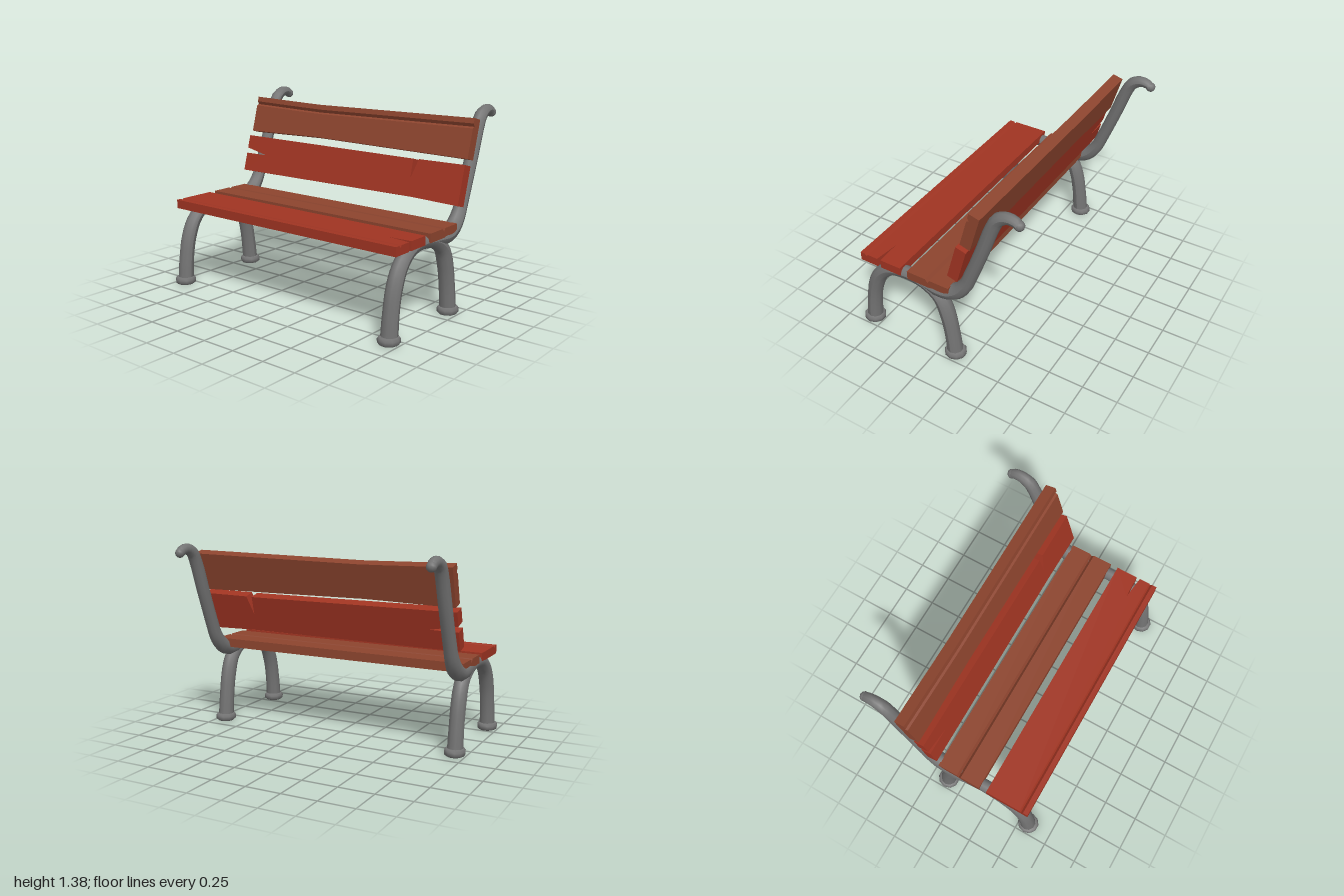
import * as THREE from 'three';

const V = (x, y, z = 0) => new THREE.Vector3(x, y, z);

export function createModel() {
  const mat = (name, color) => Object.assign(new THREE.MeshStandardMaterial({ color }), { name });
  const iron = mat('grey iron', 0x737373);
  const red = mat('red wood', 0xa03422);
  const brown = mat('brown wood', 0x8c442e);

  const bench = new THREE.Group();
  bench.name = 'bench';
  const add = (parent, name, geometry, material) => {
    const mesh = new THREE.Mesh(geometry, material);
    mesh.name = name;
    parent.add(mesh);
    return mesh;
  };

  // Tube whose radius follows a list of values along its path
  const taperedTube = (points, radii, n = 28) => {
    const curve = new THREE.CatmullRomCurve3(points.map(p => V(...p)));
    const sides = 10;
    const g = new THREE.TubeGeometry(curve, n, 1, sides);
    const pos = g.attributes.position;
    const p = V(0, 0);
    for (let i = 0; i <= n; i++) {
      const c = curve.getPointAt(i / n);
      const f = (i / n) * (radii.length - 1);
      const k = Math.min(Math.floor(f), radii.length - 2);
      const r = THREE.MathUtils.lerp(radii[k], radii[k + 1], f - k);
      for (let j = 0; j <= sides; j++) {
        const id = i * (sides + 1) + j;
        p.fromBufferAttribute(pos, id).sub(c).multiplyScalar(r).add(c);
        pos.setXYZ(id, p.x, p.y, p.z);
      }
    }
    g.computeVertexNormals();
    return g;
  };

  // Two cast end frames: arch with legs, back support with curl, and feet
  const footProfile = [[0, 0], [0.062, 0], [0.076, 0.012], [0.078, 0.036], [0.066, 0.053], [0, 0.058]]
    .map(([x, y]) => new THREE.Vector2(x, y));
  for (const side of [-1, 1]) {
    const frame = new THREE.Group();
    frame.name = side > 0 ? 'nearEndFrame' : 'farEndFrame';
    frame.position.z = side * 0.927;
    add(frame, 'legArch', taperedTube(
      [[-0.568, 0.03], [-0.555, 0.18], [-0.525, 0.34], [-0.465, 0.47], [-0.37, 0.55], [-0.23, 0.573],
        [-0.08, 0.55], [0.02, 0.48], [0.07, 0.36], [0.1, 0.2], [0.118, 0.03]],
      [0.057, 0.054, 0.054, 0.05, 0.045, 0.05, 0.055, 0.054, 0.057], 36), iron);
    add(frame, 'backSupport', taperedTube(
      [[-0.16, 0.57], [-0.03, 0.56], [0.08, 0.56], [0.165, 0.605], [0.225, 0.68], [0.268, 0.78], [0.355, 1.01],
        [0.435, 1.235], [0.475, 1.308], [0.54, 1.341], [0.595, 1.333], [0.617, 1.312]],
      [0.042, 0.058, 0.056, 0.047, 0.046, 0.046, 0.046, 0.044, 0.032], 40), iron);
    const tip = add(frame, 'curlTip', new THREE.SphereGeometry(0.034, 10, 8), iron);
    tip.position.set(0.615, 1.318, 0);
    for (const x of [-0.57, 0.12]) {
      const foot = add(frame, 'foot', new THREE.LatheGeometry(footProfile, 10), iron);
      foot.position.x = x;
      foot.scale.z = 0.96;
    }
    bench.add(frame);
  }

  // Planks extruded lengthwise from an end profile, or through their thickness from an outline
  const shapeOf = pts => new THREE.Shape(pts.map(([x, y]) => new THREE.Vector2(x, y)));
  const extrude = (pts, depth, steps = 1) =>
    new THREE.ExtrudeGeometry(shapeOf(pts), { depth, steps, bevelEnabled: false });
  const z0 = -0.972, z1 = 0.978, low = 0.572, high = 0.635;
  const lengthwise = (pts, steps) => extrude(pts, z1 - z0, steps).translate(0, 0, z0);

  // Front seat plank: grooved front edge and a board cracked at one end
  add(bench, 'frontSeatPlankEdge', lengthwise(
    [[-0.585, low], [-0.525, low], [-0.525, high], [-0.535, high - 0.015], [-0.55, high], [-0.585, high]]), red);
  const board = extrude(
    [[z0, -0.525], [z1, -0.525], [z1, -0.447], [0.8, -0.425], [z1, -0.42], [z1, -0.26], [z0, -0.26]], high - low);
  board.applyMatrix4(new THREE.Matrix4().makeBasis(V(0, 0, 1), V(1, 0), V(0, 1)).setPosition(0, low, 0));
  add(bench, 'frontSeatPlank', board, red);

  // Rear seat plank with a groove along its top
  add(bench, 'rearSeatPlank', lengthwise(
    [[-0.203, low], [0.121, low], [0.121, high], [-0.026, high], [-0.04, high - 0.024], [-0.058, high], [-0.203, high]]), brown);

  // Lower back plank: notched top edge and a split end
  const lower = extrude(
    [[z0, 0], [0.6, 0.01], [z1, 0], [z1, 0.275], [0.62, 0.272], [0.578, 0.135], [0.575, 0.27],
      [z0, 0.277], [z0, 0.178], [-0.77, 0.138], [z0, 0.136]], 0.077);
  const tilt = 0.275;
  const c = Math.cos(tilt), s = Math.sin(tilt);
  lower.applyMatrix4(new THREE.Matrix4().makeBasis(V(0, 0, 1), V(s, c), V(-c, s)).setPosition(0.195, 0.73, 0));
  add(bench, 'lowerBackPlank', lower, red);

  // Upper back plank: grooved front face, narrowing slightly along its length
  const upper = lengthwise(
    [[0.227, 1.05], [0.3, 1.03], [0.375, 1.293], [0.301, 1.313], [0.291, 1.278], [0.302, 1.255], [0.282, 1.246]], 12);
  const pos = upper.attributes.position;
  for (let i = 0; i < pos.count; i++) {
    const z = pos.getZ(i);
    const bow = z > -0.35 ? (z1 - z) / (z1 + 0.35) : (z - z0) / (-0.35 - z0);
    const shift = 0.015 * bow * (pos.getY(i) < 1.15 ? 1 : -1);
    pos.setXYZ(i, pos.getX(i) + shift * s, pos.getY(i) + shift * c, z);
  }
  upper.computeVertexNormals();
  add(bench, 'upperBackPlank', upper, brown);

  return bench;
}
